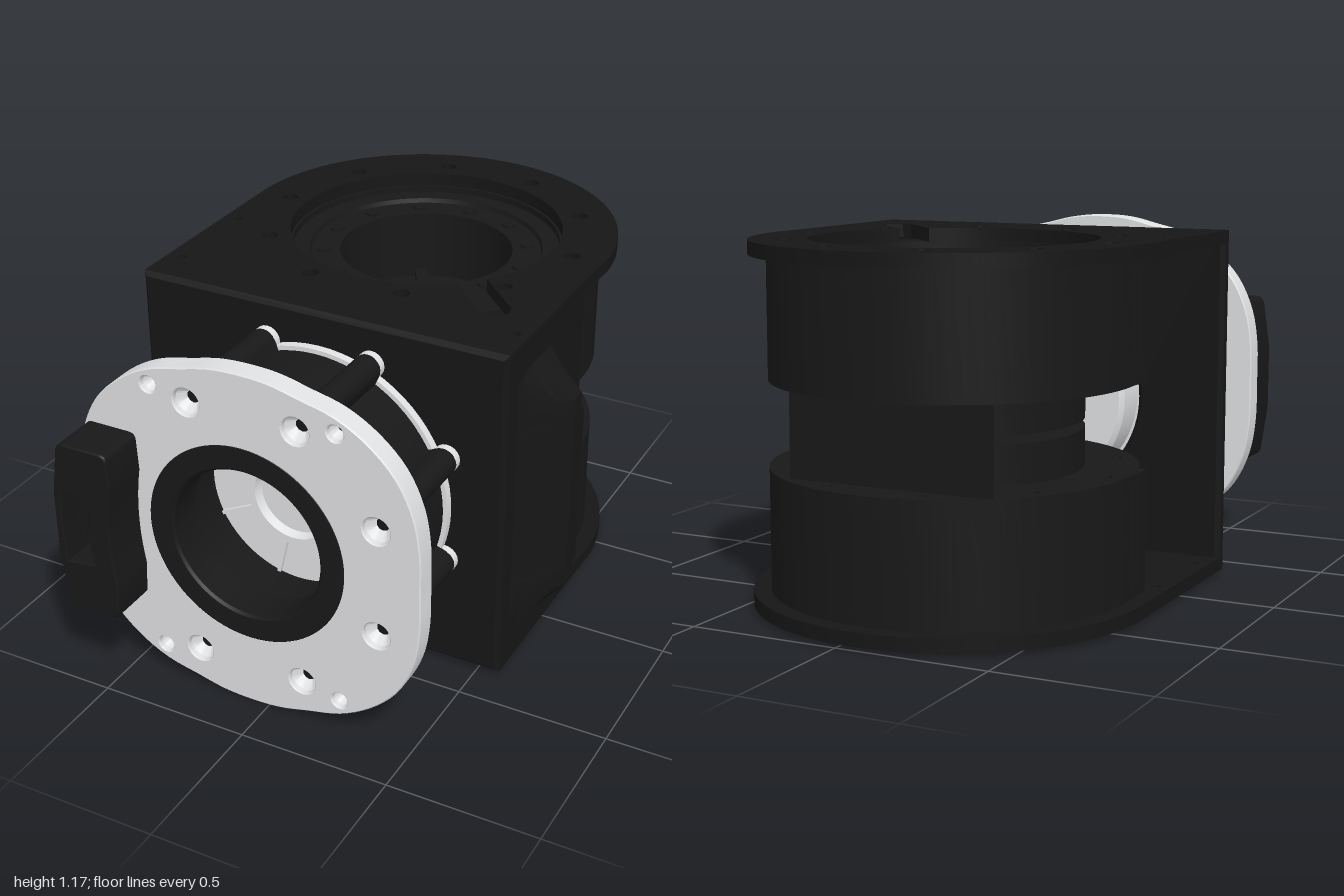
import * as THREE from 'three';
import { toCreasedNormals } from 'three/addons/utils/BufferGeometryUtils.js';

const CX = -0.06, CY = 0.5875, CZ = -0.365;

const mat = (name, color, side = THREE.FrontSide) => {
  const m = new THREE.MeshStandardMaterial({ color, side });
  m.name = name;
  return m;
};

export function createModel() {
  const black = mat('black shell', 0x161616);
  const charcoal = mat('charcoal housing', 0x181818);
  const silver = mat('silver metal', 0xe0e1e3);
  const root = new THREE.Group();

  const add = (parent, name, geo, material, x = 0, y = 0, z = 0) => {
    const m = new THREE.Mesh(geo, material);
    m.name = name;
    m.position.set(x, y, z);
    parent.add(m);
    return m;
  };
  const box = (w, h, d) => new THREE.BoxGeometry(w, h, d);
  const circle = (x, y, r) => new THREE.Path().absarc(x, y, r, 0, Math.PI * 2, true);
  const poly = (pts, Type = THREE.Shape) => new Type(pts.map(p => new THREE.Vector2(...p)));
  const extrude = (shape, depth, bevel = 0) => toCreasedNormals(new THREE.ExtrudeGeometry(shape, {
    depth: depth - 2 * bevel, curveSegments: 40, bevelEnabled: bevel > 0,
    bevelSize: bevel, bevelOffset: -bevel, bevelThickness: bevel, bevelSegments: 1,
  }).translate(0, 0, bevel), 0.35);
  const lathe = (pts) => toCreasedNormals(
    new THREE.LatheGeometry(pts.map(p => new THREE.Vector2(...p)), 72), 0.5);
  const zCyl = (r, d, n = 20) => new THREE.CylinderGeometry(r, r, d, n).rotateX(Math.PI / 2);

  // Ring of ten bolt holes shared by the plates and drums
  const boltCircle = (x, y, r) => Array.from({ length: 10 }, (_, i) =>
    circle(x + 0.525 * Math.cos(i * Math.PI / 5), y + 0.525 * Math.sin(i * Math.PI / 5), r));

  // Top and bottom cover plates: square at the front, half round at the back
  const plate = new THREE.Shape();
  plate.moveTo(-0.7, -0.345);
  plate.lineTo(0.575, -0.345);
  plate.lineTo(0.575, -CZ);
  plate.absarc(CX, -CZ, 0.6375, 0, Math.PI, false);
  plate.lineTo(-0.7, -0.345);
  plate.holes.push(...boltCircle(CX, -CZ, 0.027));
  for (const [x, z] of [[-0.65, -0.12], [-0.65, 0.22], [0.53, 0.22]])
    plate.holes.push(circle(x, -z, 0.015));
  // Round opening joined to the diagonal cable slot
  const keyhole = [];
  for (let i = 0; i <= 64; i++) {
    const a = 0.11 + i / 64 * (Math.PI * 2 - 0.22);
    keyhole.push([0.455 * Math.cos(a), 0.455 * Math.sin(a)]);
  }
  keyhole.push([0.67, -0.05], [0.7, -0.03], [0.7, 0.03], [0.67, 0.05]);
  plate.holes.push(poly(keyhole.map(([u, v]) =>
    [CX + (u + v) * Math.SQRT1_2, -CZ + (v - u) * Math.SQRT1_2]), THREE.Path));
  const plateGeo = extrude(plate, 0.045).rotateX(-Math.PI / 2);
  add(root, 'topPlate', plateGeo, black, 0, 1.115, 0);
  add(root, 'bottomPlate', plateGeo, black, 0, 0.015, 0);

  // Front wall with round opening
  const wall = poly([[-0.7, 0.015], [0.575, 0.015], [0.575, 1.16], [-0.7, 1.16]]);
  wall.holes.push(circle(CX, CY, 0.34));
  add(root, 'frontWall', extrude(wall, 0.055, 0.015), black, 0, 0, 0.317);

  // Side wall on the left with cable window (shape x runs along -z)
  const side = poly([[-0.345, 0.06], [0.21, 0.06], [0.21, 1.115], [-0.345, 1.115]]);
  side.holes.push(poly([[-0.2, 0.31], [-0.2, 0.86], [0.195, 0.86], [0.195, 0.31]], THREE.Path));
  add(root, 'sideWall', extrude(side, 0.045).rotateY(Math.PI / 2), black, 0.53, 0, 0);

  // Cable hood: tapered ends joined by an open-backed shell
  const hood = [[0.57, 0.3], [0.6, 0.25], [0.665, 0.17], [0.692, 0.12], [0.692, 0.07], [0.66, 0.05], [0.6, 0.03], [0.57, -0.02]];
  const hoodEnd = () => {
    const n = hood.length, pos = [], idx = [];
    for (const [y, k] of [[0.86, 1], [0.93, 1], [1.06, 0]])
      for (const [x, z] of hood) pos.push(0.57 + (x - 0.57) * k, y - CY, z);
    for (let r = 0; r < 2; r++) for (let i = 0; i < n; i++) {
      const a = r * n + i, b = r * n + (i + 1) % n;
      idx.push(a, b, a + n, b, b + n, a + n);
    }
    for (let i = 1; i < n - 1; i++) idx.push(0, i + 1, i);
    const g = new THREE.BufferGeometry();
    g.setAttribute('position', new THREE.Float32BufferAttribute(pos, 3));
    g.setIndex(idx);
    return toCreasedNormals(g, 0.6);
  };
  const hoodMat = mat('black hood', 0x161616, THREE.DoubleSide);
  add(root, 'hoodTop', hoodEnd(), hoodMat, 0, CY, 0);
  add(root, 'hoodBottom', hoodEnd().scale(1, -1, 1), hoodMat, 0, CY, 0);
  const shell = poly([[0.57, -0.3], [0.6, -0.25], [0.665, -0.17], [0.692, -0.12], [0.692, -0.043],
    [0.672, -0.043], [0.672, -0.11], [0.645, -0.16], [0.57, -0.25]]);
  add(root, 'hoodShell', extrude(shell, 0.56).rotateX(-Math.PI / 2), hoodMat, 0, 0.3075, 0);

  // Two facing drums; the lower is the upper one turned over
  const drumRing = new THREE.Shape().absarc(0, 0, 0.582, 0, Math.PI * 2, false);
  drumRing.holes.push(circle(0, 0, 0.447), ...boltCircle(0, 0, 0.016));
  const drumRingGeo = extrude(drumRing, 0.39).rotateX(-Math.PI / 2);
  const drumCoreGeo = lathe([[0, 0.0135], [0.41, 0.0135], [0.41, 0.137], [0.45, 0.137], [0.45, 0.505],
    [0.39, 0.505], [0.385, 0.49], [0.29, 0.49], [0.29, 0.25], [0, 0.25]]);
  const makeDrum = (name) => {
    const g = new THREE.Group();
    g.name = name;
    g.position.set(CX, CY, CZ);
    add(g, 'drumCore', drumCoreGeo, charcoal);
    add(g, 'drumRing', drumRingGeo, charcoal, 0, 0.137, 0);
    add(g, 'drumHub', new THREE.CylinderGeometry(0.13, 0.14, 0.06, 32), charcoal, 0, 0.28, 0);
    // Diagonal spokes and two round bosses on the recess floor
    for (const a of [1, 2, 4, 5].map(i => i * Math.PI / 3))
      add(g, 'drumSpoke', box(0.16, 0.03, 0.04), charcoal,
        0.21 * Math.cos(a), 0.265, 0.21 * Math.sin(a)).rotation.y = -a;
    for (const [x, z] of [[-0.215, 0], [0.19, -0.1]])
      add(g, 'drumBoss', new THREE.CylinderGeometry(0.07, 0.07, 0.03, 24), charcoal, x, 0.265, z);
    for (let i = 0; i < 12; i++) {
      const a = i * Math.PI / 6;
      add(g, 'drumBolt', new THREE.CylinderGeometry(0.024, 0.024, 0.01, 12), charcoal,
        0.342 * Math.cos(a), 0.493, 0.342 * Math.sin(a));
    }
    // Square ears with raised strips at both sides
    for (const sx of [-1, 1]) {
      add(g, 'drumEar', box(0.11, 0.388, 0.145), charcoal, sx * 0.527, 0.332, 0.0955);
      for (const z of [0.06, 0.1])
        add(g, 'drumStrip', box(0.008, 0.34, 0.016), charcoal, sx * 0.584, 0.33, z);
    }
    root.add(g);
    return g;
  };
  makeDrum('upperDrum');
  makeDrum('lowerDrum').rotation.z = Math.PI;
  add(root, 'rearBridge', box(0.68, 0.28, 0.015), charcoal, CX - 0.02, CY, -0.815);
  add(root, 'drumSpacer', box(0.06, 0.035, 0.21), charcoal, CX, CY, -0.105);

  // Round front housing with lengthwise lugs
  const neck = new THREE.Group();
  neck.name = 'neck';
  neck.position.set(CX, CY, 0);
  root.add(neck);
  add(neck, 'housing', lathe([[0.31, 0.39], [0.445, 0.39], [0.445, 0.77], [0.345, 0.77], [0.345, 0.832],
    [0.337, 0.84], [0.263, 0.84], [0.255, 0.832], [0.255, 0.72], [0.3, 0.7], [0.31, 0.39]])
    .rotateX(Math.PI / 2), charcoal);
  add(neck, 'rearRim', lathe([[0.3, 0.35], [0.46, 0.35], [0.46, 0.4], [0.3, 0.4]]).rotateX(Math.PI / 2), silver);
  for (let i = 0; i < 8; i++) {
    const a = (i + 0.5) * Math.PI / 4, c = Math.cos(a), n = Math.sin(a);
    add(neck, 'lug', zCyl(0.045, 0.37), charcoal, 0.478 * c, 0.478 * n, 0.583);
    add(neck, 'lugWeb', box(0.06, 0.09, 0.37), charcoal, 0.449 * c, 0.449 * n, 0.583).rotation.z = a;
    add(neck, 'lugTip', zCyl(0.045, 0.03), silver, 0.478 * c, 0.478 * n, 0.384);
  }

  // Silver core seen through the opening
  add(neck, 'core', lathe([[0, 0.225], [0.31, 0.225], [0.325, 0.24], [0.325, 0.38], [0.305, 0.38], [0.305, 0.53], [0, 0.53]])
    .rotateX(Math.PI / 2), silver);
  add(neck, 'coreRing', lathe([[0.16, 0.525], [0.16, 0.56], [0.135, 0.56], [0.125, 0.525]])
    .rotateX(Math.PI / 2), silver);
  for (let i = 0; i < 7; i++) {
    const a = i * Math.PI * 2 / 7;
    add(neck, 'coreRib', box(0.14, 0.012, 0.02), silver, 0.23 * Math.cos(a), 0.23 * Math.sin(a), 0.535).rotation.z = a;
  }

  // Silver flange: softly squared outline mirrored from one quarter
  const q = [[0.588, 0], [0.586, 0.14], [0.565, 0.26], [0.51, 0.375], [0.42, 0.465], [0.315, 0.525],
    [0.2, 0.555], [0.1, 0.578], [0, 0.584]];
  const half = [...q, ...q.slice(0, -1).reverse().map(([x, y]) => [-x, y])];
  const ring = [...half, ...half.slice(1, -1).reverse().map(([x, y]) => [x, -y])];
  const curve = new THREE.CatmullRomCurve3(ring.map(([x, y]) => new THREE.Vector3(x, y, 0)), true);
  const flange = new THREE.Shape(curve.getPoints(128).slice(0, -1).map(p => new THREE.Vector2(p.x, p.y)));
  flange.holes.push(circle(0, 0, 0.335));
  const bolts = [];
  for (let i = 0; i < 8; i++) {
    const a = (i + 0.5) * Math.PI / 4;
    if (Math.cos(a) > -0.8) bolts.push([0.481 * Math.cos(a), 0.481 * Math.sin(a), 0.045]);
  }
  for (const sx of [-1, 1]) for (const sy of [-1, 1]) bolts.push([sx * 0.315, sy * 0.472, 0.027]);
  for (const [x, y, r] of bolts) flange.holes.push(circle(x, y, r));
  add(neck, 'flange', extrude(flange, 0.075, 0.004), silver, 0, 0, 0.764);
  for (const [x, y, r] of bolts) {
    // Conical bolt seat with a dark socket
    add(neck, 'boltSeat', lathe([[0, 0.77], [r * 1.1, 0.77], [r * 1.1, 0.825], [r * 0.5, 0.79], [0, 0.79]])
      .rotateX(Math.PI / 2), silver, x, y, 0);
    add(neck, 'boltSocket', zCyl(r * 0.48, 0.008, 10), black, x, y, 0.79);
  }

  // Side grip: rounded block, hollowed, with one edge following the ring
  const grip = new THREE.Shape();
  grip.moveTo(-0.585, 0.295);
  grip.lineTo(-0.455, 0.295);
  grip.quadraticCurveTo(-0.43, 0.295, -0.43, 0.32);
  grip.lineTo(-0.425, 0.42);
  grip.quadraticCurveTo(-0.455, 0.5875, -0.425, 0.755);
  grip.lineTo(-0.43, 0.855);
  grip.quadraticCurveTo(-0.43, 0.88, -0.455, 0.88);
  grip.lineTo(-0.585, 0.88);
  grip.quadraticCurveTo(-0.61, 0.88, -0.615, 0.85);
  grip.lineTo(-0.637, 0.7);
  grip.lineTo(-0.637, 0.475);
  grip.lineTo(-0.615, 0.325);
  grip.quadraticCurveTo(-0.61, 0.295, -0.585, 0.295);
  grip.holes.push(poly([[-0.605, 0.46], [-0.615, 0.5875], [-0.605, 0.715], [-0.505, 0.7], [-0.525, 0.5875], [-0.505, 0.475]], THREE.Path));
  add(root, 'grip', extrude(grip, 0.163, 0.005), charcoal, 0, 0, 0.837);
  add(root, 'gripFloor', box(0.108, 0.27, 0.05), charcoal, -0.57, CY, 0.863);
  for (const y of [0.403, 0.772])
    add(root, 'gripScrew', new THREE.TorusGeometry(0.037, 0.005, 8, 24), black, -0.505, y, 0.995);

  return root;
}
